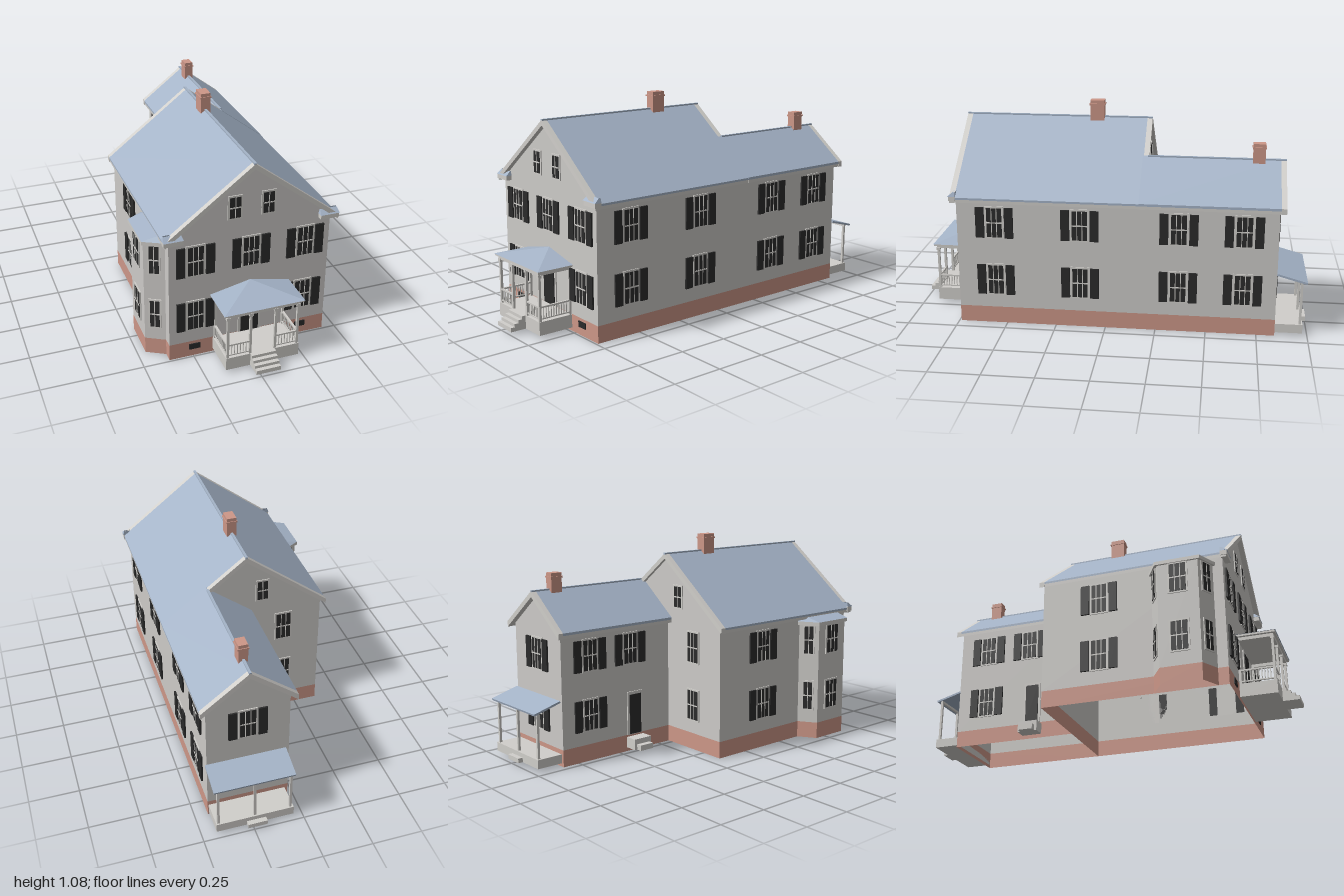
import * as THREE from 'three';

const mat = (name, color, side = THREE.DoubleSide) => {
  const m = new THREE.MeshStandardMaterial({ color, side });
  m.name = name;
  return m;
};

export function createModel() {
  const wall = mat('wallPaint', 0xcdcbc8);
  const trim = mat('trimPaint', 0xd1cfcb);
  const brick = mat('brick', 0xcd9788);
  const slate = mat('roofSlate', 0xa5b4c8);
  const dark = mat('darkPaint', 0x2b2b2b);
  const house = new THREE.Group();
  house.name = 'house';

  const add = (name, geo, m, parent = house) => {
    const mesh = new THREE.Mesh(geo, m);
    mesh.name = name;
    parent.add(mesh);
    return mesh;
  };
  // Box given by its extents on each axis
  const box = (name, [x0, x1], [y0, y1], [z0, z1], m, parent = house) =>
    add(name, new THREE.BoxGeometry(x1 - x0, y1 - y0, z1 - z0)
      .translate((x0 + x1) / 2, (y0 + y1) / 2, (z0 + z1) / 2), m, parent);
  // Flat-faced strip between a lower and an upper plan outline of [x, z] points
  const loft = (name, low, y0, high, y1, m) => {
    const p = [];
    for (let i = 0; i < low.length - 1; i++) {
      const [a, b, c, d] = [low[i], low[i + 1], high[i + 1], high[i]];
      p.push(a[0], y0, a[1], b[0], y0, b[1], c[0], y1, c[1]);
      p.push(a[0], y0, a[1], c[0], y1, c[1], d[0], y1, d[1]);
    }
    const g = new THREE.BufferGeometry();
    g.setAttribute('position', new THREE.Float32BufferAttribute(p, 3));
    g.computeVertexNormals();
    return add(name, g, m);
  };
  const BASE = 0.085, EAVE = 0.66, SLOPE = 0.767;

  // Foundation and walls, open underneath
  const walls = (name, plan) => {
    loft(name + 'Foundation', plan, 0, plan, BASE, brick);
    loft(name + 'Walls', plan, BASE, plan, name === 'bay' ? 0.62 : EAVE, wall);
  };
  walls('main', [[-0.37, 0.74], [0.435, 0.74], [0.435, -0.18], [-0.37, -0.18], [-0.37, 0.74]]);
  walls('wing', [[0.435, -0.18], [0.435, -0.84], [0.03, -0.84], [0.03, -0.18]]);
  const bayPlan = [[-0.37, 0.385], [-0.46, 0.44], [-0.46, 0.64], [-0.37, 0.69]];
  walls('bay', bayPlan);

  const gable = (name, cx, half, z, turned) => {
    const s = new THREE.Shape([[-half, 0], [half, 0], [0, half * SLOPE]].map(p => new THREE.Vector2(...p)));
    const g = new THREE.ShapeGeometry(s);
    if (turned) g.rotateY(Math.PI);
    add(name, g.translate(cx, EAVE, z), wall);
  };
  gable('frontGable', 0.0325, 0.4025, 0.74, false);
  gable('mainBackGable', 0.0325, 0.4025, -0.18, true);
  gable('wingGable', 0.2325, 0.2025, -0.84, true);

  // Chevron-shaped roof layers
  const chevron = (name, cx, half, apex, t, z0, z1, m) => {
    const e = apex - half * SLOPE;
    const pts = [[-half, e], [-half, e - t], [0, apex - t], [half, e - t], [half, e], [0, apex]];
    const s = new THREE.Shape(pts.map(p => new THREE.Vector2(...p)));
    const g = new THREE.ExtrudeGeometry(s, { depth: z1 - z0, bevelEnabled: false });
    add(name, g.translate(cx, 0, z0), m);
  };
  chevron('mainRoof', 0.034, 0.43, 0.995, 0.01, -0.17, 0.738, slate);
  chevron('mainEaveBoards', 0.034, 0.428, 0.985, 0.017, -0.17, 0.738, trim);
  chevron('mainFrontRake', 0.034, 0.43, 0.995, 0.027, 0.738, 0.765, trim);
  chevron('mainBackRake', 0.034, 0.43, 0.995, 0.027, -0.197, -0.17, trim);
  chevron('wingRoof', 0.233, 0.232, 0.845, 0.012, -0.842, -0.165, slate);
  chevron('wingEaveBoards', 0.233, 0.23, 0.833, 0.017, -0.842, -0.165, trim);
  chevron('wingRake', 0.233, 0.232, 0.845, 0.029, -0.868, -0.842, trim);
  box('mainRidgeCap', [0.028, 0.04], [0.988, 0.998], [-0.197, 0.765], slate);
  box('wingRidgeCap', [0.227, 0.239], [0.838, 0.848], [-0.868, -0.19], slate);

  // Cornice returns at the front corners
  for (const [x0, x1] of [[0.375, 0.468], [-0.4, -0.307]]) {
    box('corniceReturn', [x0, x1], [0.648, 0.671], [0.735, 0.768], trim);
    const ring = (a, b, c, d) => [[a, d], [b, d], [b, c], [a, c], [a, d]];
    loft('corniceReturnRoof', ring(x0 - 0.002, x1 + 0.002, 0.735, 0.771), 0.671,
      ring(x0 + 0.005, x1 - 0.005, 0.735, 0.745), 0.693, slate);
  }

  // Bay cornice and roof
  const bayEave = [[-0.37, 0.372], [-0.47, 0.43], [-0.47, 0.65], [-0.37, 0.703]];
  loft('baySoffit', bayPlan, 0.612, bayEave, 0.612, trim);
  loft('bayCornice', bayEave, 0.612, bayEave, 0.63, trim);
  loft('bayRoof', bayEave, 0.63, [[-0.37, 0.42], [-0.37, 0.42], [-0.37, 0.66], [-0.37, 0.66]], 0.655, slate);

  // Chimneys with a projecting band near the top
  const chimney = (x, z, w, d, y0, y1) => {
    box('chimney', [x - w, x + w], [y0, y1], [z - d, z + d], brick);
    box('chimneyBand', [x - w - 0.004, x + w + 0.004], [y1 - 0.025, y1 - 0.017], [z - d - 0.004, z + d + 0.004], brick);
  };
  chimney(0.034, 0.085, 0.025, 0.036, 0.94, 1.08);
  chimney(0.233, -0.735, 0.023, 0.03, 0.79, 0.925);

  // Windows: local +z points out of the wall, the origin is the sill centre
  const mount = (name, x, y, z, ry) => {
    const g = new THREE.Group();
    g.name = name;
    g.position.set(x, y, z);
    g.rotation.y = ry;
    house.add(g);
    return g;
  };
  const win = (x, y, z, ry, { w = 0.076, h = 0.15, cols = 3, shutters = true } = {}) => {
    const g = mount('window', x, y, z, ry), r = w / 2;
    box('windowFrame', [-r - 0.009, r + 0.009], [-0.008, h + 0.009], [0, 0.005], trim, g);
    box('windowGlass', [-r, r], [0, h], [0.005, 0.007], dark, g);
    box('meetingRail', [-r, r], [h / 2 - 0.003, h / 2 + 0.003], [0.007, 0.009], trim, g);
    for (let i = 1; i < cols; i++) {
      const bx = -r + w * i / cols;
      box('windowBar', [bx - 0.002, bx + 0.002], [0, h], [0.007, 0.009], trim, g);
    }
    if (shutters) for (const s of [-1, 1])
      box('shutter', [s * 0.0725 - 0.0215, s * 0.0725 + 0.0215], [-0.004, h + 0.003], [0, 0.009], dark, g);
  };
  const door = (x, z, ry, w, h) => {
    const g = mount('door', x, BASE, z, ry), r = w / 2;
    box('doorFrame', [-r - 0.012, r + 0.012], [0, h + 0.015], [0, 0.006], trim, g);
    box('doorPanel', [-r, r], [0.004, h], [0.006, 0.01], dark, g);
  };
  const LOW = 0.16, UP = 0.46, Q = Math.PI / 2;
  for (const x of [-0.24, 0.035, 0.31]) {
    win(x, UP, 0.74, 0);
    if (x !== 0.035) win(x, LOW, 0.74, 0);
  }
  const attic = { w: 0.054, h: 0.105, cols: 2, shutters: false };
  for (const x of [-0.05, 0.115]) win(x, 0.727, 0.74, 0, attic);
  win(-0.055, 0.727, -0.18, 2 * Q, attic);
  for (const y of [LOW, UP]) {
    for (const z of [0.55, 0.125, -0.36, -0.675]) win(0.435, y, z, Q);
    win(-0.37, y, 0.115, -Q);
    win(-0.17, y, -0.18, 2 * Q, { shutters: false });
    win(0.03, y, -0.675, -Q);
    win(0.235, y, -0.84, 2 * Q);
    // One window on each face of the bay
    for (let i = 0; i < 3; i++) {
      const [a, b] = [bayPlan[i], bayPlan[i + 1]];
      win((a[0] + b[0]) / 2, y, (a[1] + b[1]) / 2, Math.atan2(a[1] - b[1], b[0] - a[0]),
        { w: i === 1 ? 0.08 : 0.046, h: 0.145, cols: i === 1 ? 3 : 2, shutters: false });
    }
  }
  win(0.03, UP, -0.43, -Q);
  door(0.035, 0.74, 0, 0.09, 0.212);
  door(0.03, -0.405, -Q, 0.07, 0.21);
  for (const x of [-0.2425, 0.3075]) box('foundationVent', [x - 0.028, x + 0.028], [0.04, 0.07], [0.739, 0.745], dark);

  // Front porch: deck, steps, posts, beams and hipped roof
  box('porchDeck', [-0.15, 0.22], [0.017, 0.083], [0.74, 0.92], trim);
  for (let i = 0; i < 4; i++)
    box('porchStep', [-0.028, 0.095], [0.017, 0.083 - i * 0.015], [0.92, 0.94 + i * 0.02], trim);
  const post = (x, z, y0, y1, r = 0.006) => box('porchPost', [x - r, x + r], [y0, y1], [z - r, z + r], trim);
  for (const x of [-0.141, -0.028, 0.098, 0.211]) {
    post(x, 0.911, 0.083, 0.31);
    box('postCapital', [x - 0.01, x + 0.01], [0.295, 0.31], [0.902, 0.92], trim);
  }
  for (const x of [-0.141, 0.211]) {
    post(x, 0.746, 0.083, 0.31);
    box('porchSideBeam', [x - 0.007, x + 0.007], [0.306, 0.325], [0.74, 0.918], trim);
  }
  box('porchFrontBeam', [-0.148, 0.218], [0.306, 0.325], [0.904, 0.918], trim);
  box('porchCornice', [-0.163, 0.233], [0.322, 0.331], [0.74, 0.928], trim);
  const apex = [0.035, 0.742];
  loft('porchRoof', [[-0.167, 0.74], [-0.167, 0.932], [0.237, 0.932], [0.237, 0.74]], 0.331,
    [apex, apex, apex, apex], 0.376, slate);

  // Railings along x or z between two porch posts
  const railing = (a, b, fixed, alongX) => {
    const bar = (name, s0, s1, y, r) => alongX
      ? box(name, [s0, s1], y, [fixed - r, fixed + r], trim)
      : box(name, [fixed - r, fixed + r], y, [s0, s1], trim);
    bar('topRail', a, b, [0.148, 0.156], 0.005);
    bar('bottomRail', a, b, [0.092, 0.098], 0.004);
    const n = Math.round((b - a) / 0.0135);
    for (let i = 1; i < n; i++) {
      const s = a + (b - a) * i / n;
      bar('baluster', s - 0.002, s + 0.002, [0.095, 0.15], 0.002);
    }
  };
  railing(-0.135, -0.034, 0.911, true);
  railing(0.104, 0.205, 0.911, true);
  for (const x of [-0.141, 0.211]) railing(0.752, 0.905, x, false);

  // Back porch with a lean-to roof
  box('backPorchDeck', [0.045, 0.43], [0.017, 0.062], [-0.975, -0.84], trim);
  box('backPorchStep', [0.185, 0.28], [0.017, 0.04], [-1, -0.975], trim);
  for (const x of [0.06, 0.238, 0.418]) post(x, -0.962, 0.062, 0.288);
  box('backPorchBeam', [0.052, 0.426], [0.276, 0.288], [-0.968, -0.956], trim);
  const lean = box('backPorchRoof', [0.045, 0.443], [-0.005, 0.005], [-0.076, 0.076], slate);
  lean.position.set(0, 0.305, -0.913);
  lean.rotation.x = -0.27;

  // Side door steps
  box('sideUpperStep', [-0.035, 0.03], [0.02, 0.075], [-0.455, -0.35], trim);
  box('sideLowerStep', [-0.065, -0.035], [0.02, 0.048], [-0.44, -0.362], trim);

  return house;
}
